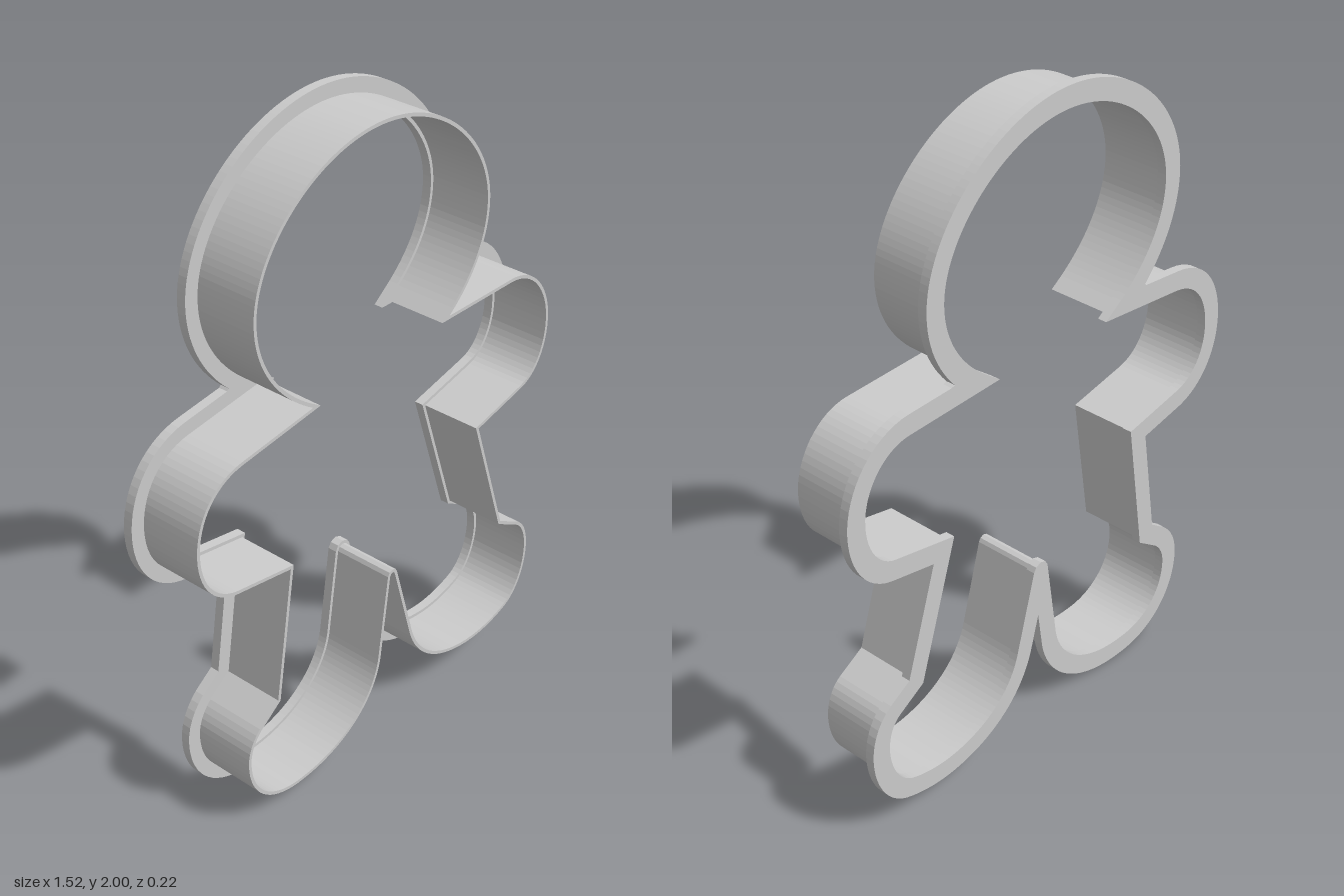
import * as THREE from 'three';

// Outline of the cutting wall: 2 numbers = straight line, 6 = bezier curve
const START = [0.255, 1.295];
const OUTLINE = [
  // head
  [0.355, 1.37, 0.416, 1.47, 0.416, 1.58],
  [0.416, 1.77, 0.2, 1.958, -0.04, 1.958],
  [-0.28, 1.958, -0.495, 1.775, -0.495, 1.58],
  [-0.495, 1.45, -0.41, 1.335, -0.29, 1.26],
  // right arm
  [-0.55, 1.225],
  [-0.66, 1.21, -0.718, 1.12, -0.718, 1.02],
  [-0.718, 0.92, -0.66, 0.845, -0.57, 0.835],
  [-0.385, 0.805],
  // right leg and foot
  [-0.446, 0.396],
  [-0.52, 0.342],
  [-0.55, 0.315, -0.567, 0.28, -0.567, 0.24],
  [-0.567, 0.12, -0.48, 0.04, -0.35, 0.047],
  [-0.17, 0.05, -0.045, 0.15, -0.02, 0.28],
  // rounded tip between the legs
  [0.02, 0.552],
  [0.023, 0.564, 0.037, 0.564, 0.04, 0.552],
  // left foot and leg
  [0.11, 0.3],
  [0.15, 0.16, 0.28, 0.097, 0.42, 0.097],
  [0.47, 0.097, 0.53, 0.11, 0.575, 0.13],
  [0.63, 0.155, 0.669, 0.23, 0.669, 0.31],
  [0.669, 0.36, 0.65, 0.405, 0.615, 0.425],
  [0.53, 0.472],
  [0.405, 0.862],
  // left arm
  [0.6, 0.908],
  [0.67, 0.925, 0.715, 1.0, 0.715, 1.09],
  [0.715, 1.2, 0.635, 1.295, 0.53, 1.295],
  START,
];

// Evenly sampled closed polyline along the outline
function samplePath() {
  const path = new THREE.Path().moveTo(...START);
  for (const s of OUTLINE) s.length === 2 ? path.lineTo(...s) : path.bezierCurveTo(...s);
  const pts = [];
  for (const curve of path.curves) {
    const n = Math.max(4, Math.ceil(curve.getLength() / 0.02));
    for (let i = 0; i < n; i++) pts.push(curve.getPoint(i / n));
  }
  return pts;
}

function distanceToPath(p, pts) {
  let best = Infinity;
  pts.forEach((a, i) => {
    const ab = pts[(i + 1) % pts.length].clone().sub(a);
    const t = THREE.MathUtils.clamp(p.clone().sub(a).dot(ab) / ab.lengthSq(), 0, 1);
    best = Math.min(best, p.distanceTo(a.clone().addScaledVector(ab, t)));
  });
  return best;
}

// Mitred parallel outline (positive = outward); folded-over points are dropped
function offset(pts, d) {
  if (d === 0) return pts;
  const n = pts.length;
  const normal = (a, b) => new THREE.Vector2(b.y - a.y, a.x - b.x).normalize();
  return pts
    .map((p, i) => {
      const n1 = normal(pts[(i + n - 1) % n], p);
      const n2 = normal(p, pts[(i + 1) % n]);
      const m = n1.clone().add(n2).normalize();
      return p.clone().addScaledVector(m, d / m.dot(n1));
    })
    .filter((p) => distanceToPath(p, pts) > Math.abs(d) * 0.995);
}

// Extruded ring between two parallels of the outline
function ring(name, pts, outer, inner, z0, z1, material) {
  const shape = new THREE.Shape(offset(pts, outer));
  shape.holes.push(new THREE.Path(offset(pts, inner)));
  const geo = new THREE.ExtrudeGeometry(shape, { depth: z1 - z0, bevelEnabled: false });
  geo.translate(0, 0, z0);
  const mesh = new THREE.Mesh(geo, material);
  mesh.name = name;
  return mesh;
}

export function createModel() {
  const group = new THREE.Group();
  group.name = 'cookieCutter';
  const material = new THREE.MeshStandardMaterial({ color: 0xcccccc });
  const pts = samplePath();
  // thin cutting wall, and the wider grip flange behind it
  group.add(ring('cuttingWall', pts, 0, -0.01, -0.08, 0.108, material));
  group.add(ring('gripFlange', pts, 0.042, -0.02, -0.108, -0.08, material));
  return group;
}
